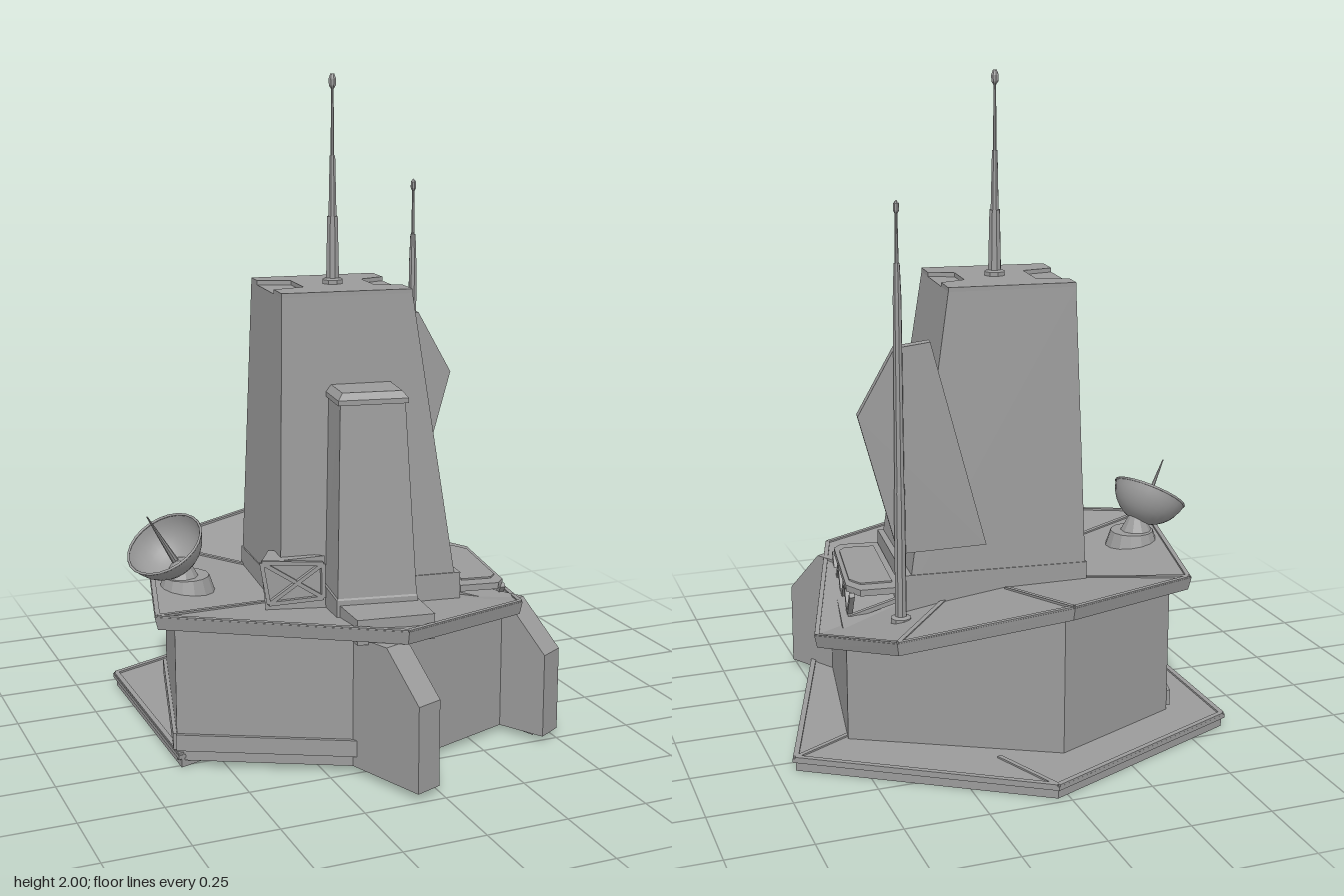
import * as THREE from 'three';

const V = (p) => new THREE.Vector3(...p);
const mat = new THREE.MeshStandardMaterial({ color: 0x9b9b9b, flatShading: true });
const smooth = new THREE.MeshStandardMaterial({ color: 0x9b9b9b, side: THREE.DoubleSide });

export function createModel() {
  const model = new THREE.Group();

  const add = (name, geo, pos = [0, 0, 0], material = mat) => {
    const m = new THREE.Mesh(geo, material);
    m.name = name;
    m.position.set(...pos);
    model.add(m);
    return m;
  };

  // Solid skinned through rings of [x, y, z]; the first is the bottom, the last the top
  const loft = (name, rings, peak) => {
    const pts = [];
    const mid = (r) => r.reduce((s, p) => s.map((v, i) => v + p[i] / r.length), [0, 0, 0]);
    const n = rings[0].length;
    let area = 0;
    rings[0].forEach((p, i) => {
      const q = rings[0][(i + 1) % n];
      area += p[0] * q[2] - q[0] * p[2];
    });
    const rs = area > 0 ? rings.map((r) => [...r].reverse()) : rings;
    const low = rs[0], high = rs[rs.length - 1];
    const cl = mid(low), ch = peak || mid(high);
    for (let i = 0; i < n; i++) {
      const j = (i + 1) % n;
      for (let k = 0; k < rs.length - 1; k++) {
        const a = rs[k], b = rs[k + 1];
        pts.push(a[i], a[j], b[j], a[i], b[j], b[i]);
      }
      pts.push(cl, low[j], low[i], ch, high[i], high[j]);
    }
    const g = new THREE.BufferGeometry();
    g.setAttribute('position', new THREE.Float32BufferAttribute(pts.flat(), 3));
    g.computeVertexNormals();
    return add(name, g);
  };
  const at = (plan, y) => plan.map(([x, z]) => [x, y, z]);
  const grow = (plan, s) => {
    const cx = plan.reduce((t, p) => t + p[0], 0) / plan.length;
    const cz = plan.reduce((t, p) => t + p[1], 0) / plan.length;
    return plan.map(([x, z]) => [cx + (x - cx) * s, cz + (z - cz) * s]);
  };

  // Flat slab of any [x, z] outline between two heights
  const slab = (name, plan, y0, y1) => add(name,
    new THREE.ExtrudeGeometry(new THREE.Shape(plan.map(([x, z]) => new THREE.Vector2(x, -z))),
      { depth: y1 - y0, bevelEnabled: false }).rotateX(-Math.PI / 2), [0, y0, 0]);

  // Square bar between two points
  const beam = (name, a, b, w = 0.012, h = w) => {
    const p = V(a), q = V(b);
    const m = add(name, new THREE.BoxGeometry(w, h, p.distanceTo(q)), p.clone().lerp(q, 0.5).toArray());
    m.lookAt(q);
    return m;
  };

  // Ground plate behind the building, with a raised rim
  const plate = [[0.25, -0.05], [0.45, 0.465], [0.705, -0.307], [0.035, -0.737], [-0.636, -0.455], [-0.636, 0.27]];
  slab('groundPlate', grow(plate, 0.985), 0, 0.03);
  slab('groundPlateLip', plate, 0.028, 0.04);
  const rim = at(grow(plate, 0.985), 0.04);
  for (let i = 1; i < 5; i++) beam('plateRim', rim[i], rim[i + 1], 0.016, 0.012);
  beam('plateRib', rim[3], [0.13, 0.04, -0.5], 0.014, 0.01);
  beam('plateRib', rim[2], [0.5, 0.04, -0.2], 0.014, 0.01);

  // Building walls, following the sloping eaves
  const walls = [[-0.08, 0.54, 0.43], [0.41, 0.37, 0.40], [0.515, -0.23, 0.345],
    [-0.06, -0.54, 0.475], [-0.48, -0.36, 0.46], [-0.635, 0.25, 0.445]];
  loft('walls', [walls.map(([x, z]) => [x, 0.02, z]), walls.map(([x, z, y]) => [x, y, z])], [0, 0.38, 0]);
  for (const [i, j] of [[4, 5], [5, 0]]) {
    const [a, b] = [walls[i], walls[j]];
    beam('wallSkirt', [a[0], 0.078, a[1]], [b[0], 0.078, b[1]], 0.022, 0.05);
  }

  // Buttresses with sloping shoulders
  const profile = new THREE.Shape([[-0.37, 0.02], [0, 0.02], [0, 0.28], [-0.13, 0.42], [-0.37, 0.42]]
    .map((p) => new THREE.Vector2(...p)));
  for (const [x, z, dx, dz] of [[-0.042, 0.725, 0.35, 0.94], [0.478, 0.497, 0.5, 0.86]]) {
    const g = new THREE.ExtrudeGeometry(profile, { depth: 0.085, bevelEnabled: false }).translate(0, 0, -0.0425);
    add('buttress', g, [x, 0, z]).rotation.y = -Math.atan2(dz, dx);
  }

  // Faceted roof slab, sunk towards the tower, with hip ridges
  const roof = [[-0.06, 0.46, 0.626], [0.40, 0.435, 0.45], [0.583, 0.335, -0.11], [0.433, 0.43, -0.483],
    [-0.06, 0.52, -0.61], [-0.527, 0.49, -0.415], [-0.703, 0.48, 0.28]];
  const peak = [0.03, 0.40, 0.05];
  loft('roof', [roof.map(([x, y, z]) => [x * 0.985, y - 0.04, z * 0.985]), roof], peak);
  const inset = ([x, y, z]) => [x * 0.985, y, z * 0.985];
  roof.forEach((p, i) => {
    beam('roofTrim', inset(p), inset(roof[(i + 1) % roof.length]), 0.014, 0.008);
    if (i > 2) beam('roofRidge', inset(p), V(p).lerp(V(peak), 0.62).toArray(), 0.014, 0.01);
  });

  // Main tower on a plinth, with notched top plate
  const towerBase = [[-0.30, 0.233], [0.258, 0.311], [0.307, -0.148], [-0.265, -0.214]];
  const towerFoot = [[-0.30, 0.233], [0.248, 0.308], [0.293, -0.149], [-0.262, -0.214]];
  const towerTop = [[-0.275, 0.195], [0.118, 0.25], [0.153, -0.12], [-0.238, -0.165]];
  loft('towerPlinth', [at(towerBase, 0.36), at(towerBase, 0.505)]);
  loft('tower', [at(towerFoot, 0.45), at(towerTop, 1.365)]);
  const edge = (a, b, t) => [a[0] + (b[0] - a[0]) * t, a[1] + (b[1] - a[1]) * t];
  const [A, B, C, D] = towerTop;
  const inner = (t, s) => edge(edge(A, B, s), edge(D, C, s), t);
  slab('towerTopPlate', [A, B, inner(0.25, 1), inner(0.32, 0.8), inner(0.66, 0.8), inner(0.75, 1), C, D,
    inner(0.8, 0), inner(0.72, 0.25), inner(0.33, 0.25), inner(0.25, 0)], 1.364, 1.378);

  // Narrow front bay with chamfered cap, and the hatch before it
  const bayFoot = [[-0.19, 0.405], [0.05, 0.45], [0.085, 0.25], [-0.16, 0.21]];
  const bayTop = [[-0.16, 0.36], [0.03, 0.395], [0.06, 0.22], [-0.135, 0.18]];
  loft('bay', [at(bayFoot, 0.40), at(bayFoot, 0.50), at(grow(bayFoot, 0.97), 0.505), at(bayTop, 1.075)]);
  loft('bayCap', [at(grow(bayTop, 1.08), 1.07), at(grow(bayTop, 1.08), 1.085), at(grow(bayTop, 0.92), 1.105)]);
  slab('frontHatch', [[-0.185, 0.545], [0.045, 0.575], [0.06, 0.42], [-0.18, 0.39]], 0.41, 0.485);

  // Side platform carried by a zigzag truss
  const deck = [[0.26, 0.31], [0.38, 0.33], [0.41, 0.30], [0.465, -0.05], [0.435, -0.11], [0.31, -0.125]];
  slab('sidePlatform', deck, 0.442, 0.462);
  slab('sidePlatformPanel', grow(deck, 0.78), 0.46, 0.467);
  const rail = (t, y) => [0.405 + 0.055 * t, y, 0.31 - 0.41 * t];
  for (let i = 0; i < 6; i++) {
    beam('trussWeb', rail(i / 6, i % 2 ? 0.36 : 0.445), rail((i + 1) / 6, i % 2 ? 0.445 : 0.36), 0.016);
  }
  beam('trussChord', rail(0.12, 0.357), rail(0.9, 0.357), 0.014);
  for (const t of [0.15, 0.88]) beam('trussStrut', rail(t, 0.357), [0.28, 0.4, rail(t)[2]], 0.014);

  // Cross-braced wedge beside the tower
  loft('braceWedge', [at([[-0.355, 0.262], [-0.17, 0.272], [-0.29, 0.15]], 0.42),
    at([[-0.37, 0.255], [-0.17, 0.262], [-0.305, 0.145]], 0.595)]);
  const f = [[-0.35, 0.47, 0.268], [-0.18, 0.47, 0.276], [-0.18, 0.575, 0.272], [-0.37, 0.597, 0.262]];
  for (const [i, j] of [[0, 1], [1, 2], [2, 3], [3, 0], [0, 2], [1, 3]]) beam('brace', f[i], f[j]);

  // Upright polygonal panel behind the tower
  const fin = new THREE.Shape([[0.085, 0.62], [0.35, 0.605], [0.465, 1.03], [0.355, 1.23], [0.25, 1.245]]
    .map(([x, y]) => new THREE.Vector2(x - 0.09, y)));
  add('uprightPanel', new THREE.ExtrudeGeometry(fin, { depth: 0.036, bevelEnabled: false }), [0.092, 0, -0.27])
    .rotation.y = -0.175;

  // Masts: stepped profiles of [radius, height]
  const mast = (name, x, z, prof) => add(name,
    new THREE.LatheGeometry(prof.map((p) => new THREE.Vector2(...p)), 8), [x, 0, z]);
  mast('towerMast', -0.053, 0.045, [[0, 1.37], [0.033, 1.37], [0.033, 1.39], [0.021, 1.395], [0.017, 1.58],
    [0.013, 1.58], [0.009, 1.76], [0.006, 1.76], [0.004, 1.955], [0.011, 1.965], [0.012, 1.985], [0.006, 2], [0, 2]]);
  mast('rearMast', 0.346, -0.235, [[0, 0.36], [0.032, 0.36], [0.032, 0.41], [0.018, 0.415], [0.017, 0.8],
    [0.015, 0.82], [0.013, 1.38], [0.009, 1.48], [0.006, 1.48], [0.004, 1.62], [0.009, 1.63], [0.009, 1.65], [0, 1.66]]);

  // Dish on a round pedestal, tilted outward
  add('dishPedestal', new THREE.CylinderGeometry(0.07, 0.09, 0.06, 14), [-0.525, 0.478, 0.02]);
  add('dishNeck', new THREE.CylinderGeometry(0.022, 0.055, 0.06, 10), [-0.54, 0.53, 0.02]);
  const dish = new THREE.Group();
  dish.name = 'dish';
  const bowl = [];
  for (let i = 0; i <= 8; i++) {
    const a = (i / 8) * 1.4;
    bowl.push(new THREE.Vector2(0.12 * Math.sin(a) / Math.sin(1.4), 0.125 * (1 - Math.cos(a))));
  }
  const bowlMesh = new THREE.Mesh(new THREE.LatheGeometry(bowl, 24), smooth);
  bowlMesh.name = 'dishBowl';
  const lip = new THREE.Mesh(new THREE.TorusGeometry(0.119, 0.004, 6, 24).rotateX(Math.PI / 2).translate(0, 0.104, 0), smooth);
  lip.name = 'dishLip';
  const feed = new THREE.Mesh(new THREE.CylinderGeometry(0.002, 0.012, 0.225, 8).translate(0, 0.1125, 0), mat);
  feed.name = 'dishFeed';
  dish.add(bowlMesh, lip, feed);
  dish.position.set(-0.545, 0.535, 0.012);
  dish.quaternion.setFromUnitVectors(new THREE.Vector3(0, 1, 0), V([-0.5, 0.81, 0.27]).normalize());
  model.add(dish);

  return model;
}
